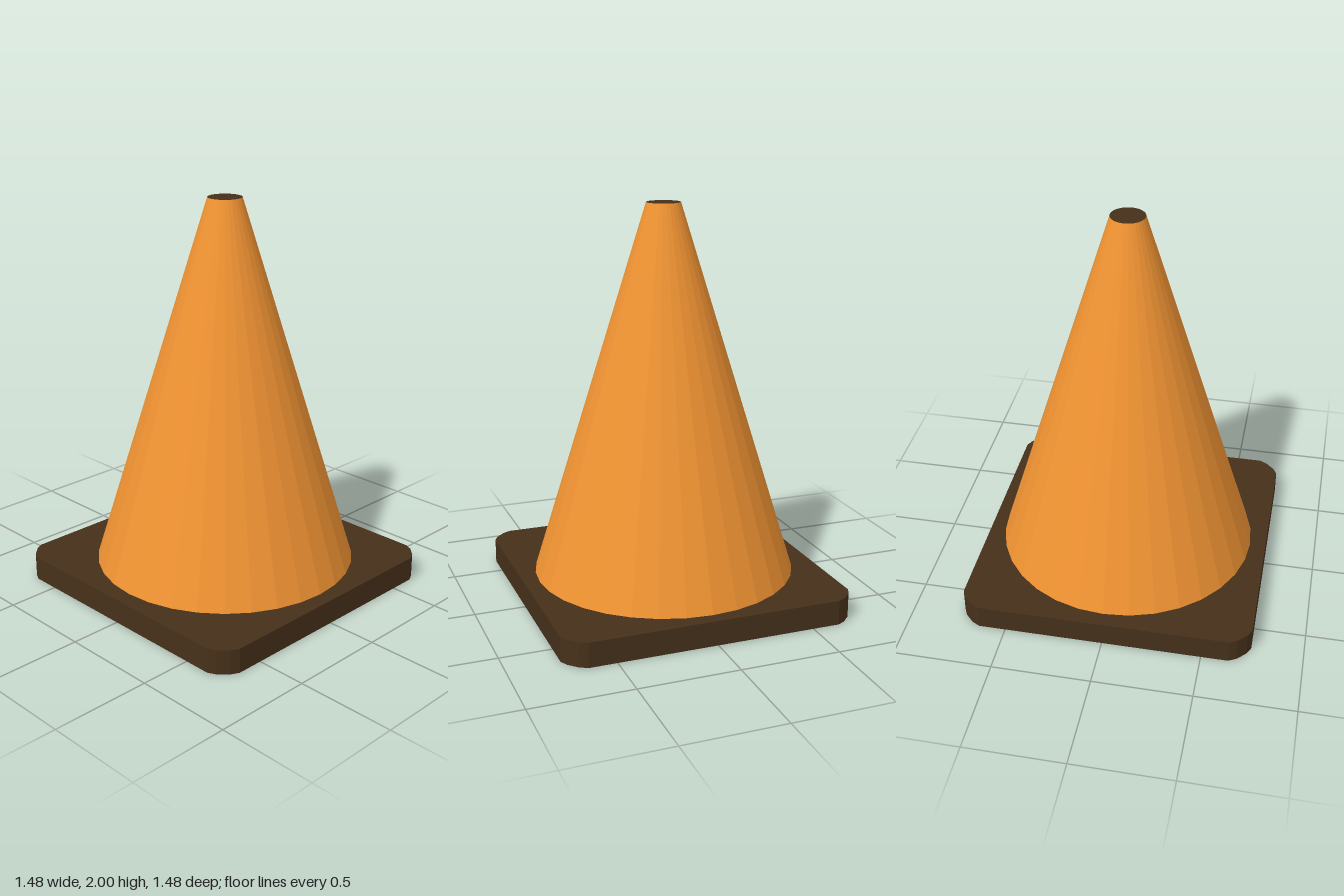
import * as THREE from 'three';

const SIDES = 32;
const BASE_H = 0.125;
const TOP_R = 0.085;

const material = (color) => new THREE.MeshStandardMaterial({ color, flatShading: true });

function addMesh(group, name, geometry, mat) {
  const mesh = new THREE.Mesh(geometry, mat);
  mesh.name = name;
  group.add(mesh);
  return mesh;
}

// Square outline whose four corners are each cut by three short facets
function baseOutline(hx, hy) {
  const cuts = [[0, 0.105], [0.02, 0.065], [0.065, 0.02], [0.105, 0]];
  const points = [];
  for (const [sx, sy] of [[1, 1], [-1, 1], [-1, -1], [1, -1]]) {
    const corner = cuts.map(([a, b]) => new THREE.Vector2(sx * (hx - a), sy * (hy - b)));
    points.push(...(sx * sy > 0 ? corner : corner.reverse()));
  }
  return new THREE.Shape(points);
}

export function createModel() {
  const model = new THREE.Group();
  model.name = 'trafficCone';
  const orange = material(0xf29433);
  const dark = material(0x46301a);

  // Flat base slab
  const slab = new THREE.ExtrudeGeometry(baseOutline(0.74, 0.742), { depth: BASE_H, bevelEnabled: false });
  slab.rotateX(-Math.PI / 2);
  addMesh(model, 'base', slab, dark);

  // Tapered body, its foot resting on the slab
  const height = 2 - BASE_H;
  const body = new THREE.CylinderGeometry(TOP_R, 0.665, height, SIDES, 1, true);
  addMesh(model, 'coneBody', body, orange).position.set(0.007, BASE_H + height / 2, 0);

  // Dark disc closing the tip
  const cap = new THREE.CircleGeometry(TOP_R, SIDES);
  cap.rotateX(-Math.PI / 2);
  addMesh(model, 'tipCap', cap, dark).position.set(0.007, 2, 0);

  return model;
}
